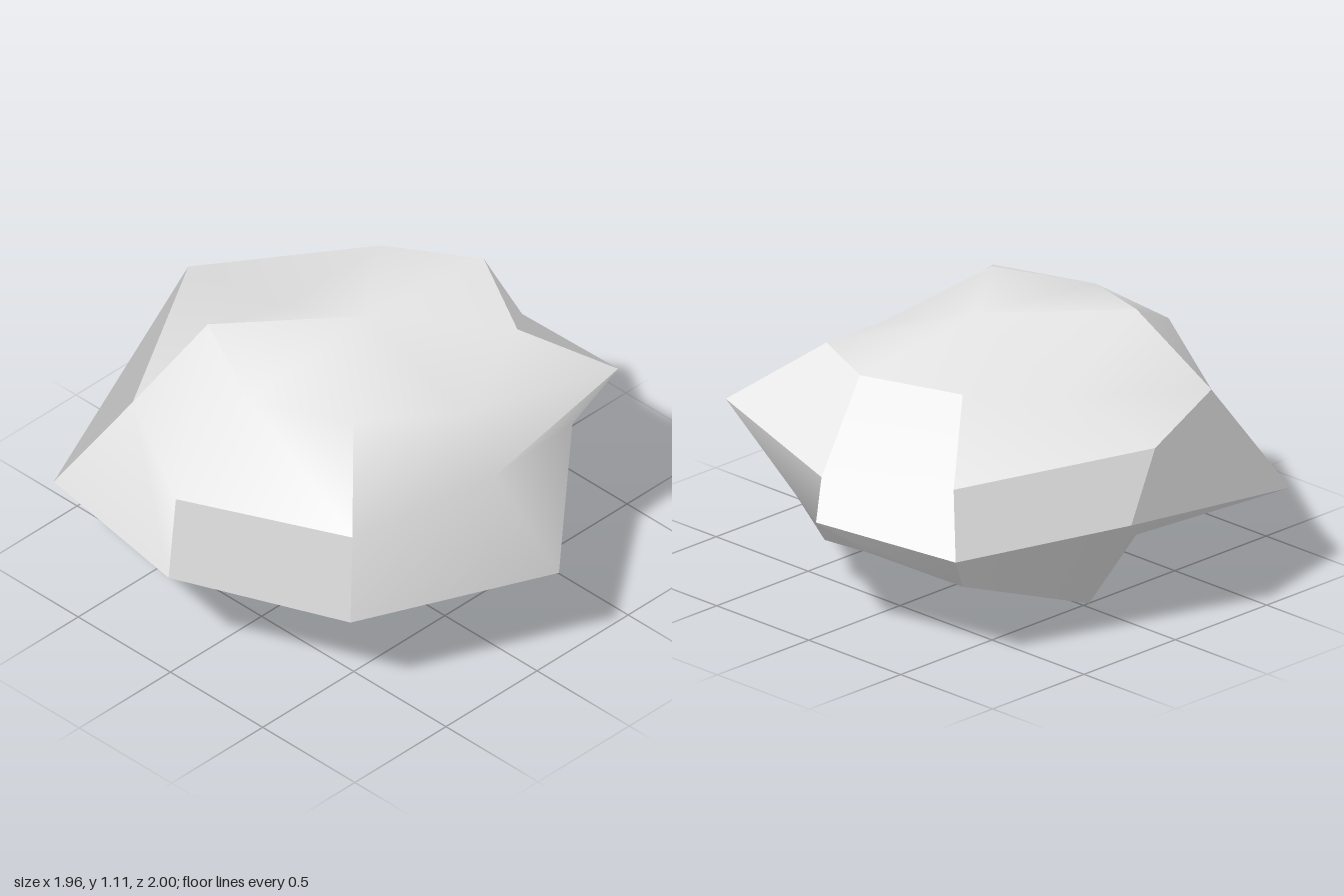
import * as THREE from 'three';

// Rings of the boulder from top to bottom, eight points each:
// front, front left, left, back left, back, back right, right, front right
const RINGS = [
  [[0.11, 0.92, 0.5], [0.55, 1.01, 0.35], [0.75, 1.04, -0.03], [0.56, 1.01, -0.4],
    [0.11, 0.9, -0.5], [-0.36, 1.11, -0.43], [-0.54, 1.05, -0.03], [-0.36, 1.06, 0.36]],
  [[0.11, 0.7, 0.66], [0.85, 0.79, 0.6], [0.95, 0.67, -0.02], [0.7, 0.68, -0.49],
    [0.11, 0.83, -1], [-0.59, 0.76, -0.61], [-0.94, 0.79, -0.03], [-0.71, 0.87, 0.7]],
  [[0.12, 0.41, 1], [0.71, 0.54, 0.49], [0.98, 0.49, -0.02], [0.84, 0.46, -0.64],
    [0.11, 0.47, -0.87], [-0.79, 0.36, -0.84], [-0.98, 0.43, -0.03], [-0.68, 0.42, 0.66]],
  [[0.11, 0.21, 0.51], [0.56, 0.19, 0.35], [0.69, 0.28, -0.02], [0.56, 0.21, -0.4],
    [0.11, 0.08, -0.64], [-0.36, 0.17, -0.43], [-0.54, 0.18, -0.03], [-0.36, 0.25, 0.36]],
];
const TOP = [0.11, 1.11, -0.03];
const BOTTOM = [0.11, 0, -0.02];
const CREASE = Math.cos(THREE.MathUtils.degToRad(30));

// Facets as corner lists: triangles at the poles, four-sided between the rings
function boulderFacets() {
  const sides = RINGS[0].length;
  const last = (RINGS.length - 1) * sides;
  const top = last + sides, bottom = top + 1;
  const facets = [];
  for (let i = 0; i < sides; i++) {
    const j = (i + 1) % sides;
    facets.push([top, i, j], [bottom, last + j, last + i]);
    for (let r = 0; r < last; r += sides) {
      facets.push([r + i, r + sides + i, r + sides + j, r + j]);
    }
  }
  return facets;
}

// One normal per whole facet, so a bent four-sided facet still shades as one
function facetNormal(facet, points) {
  const normal = new THREE.Vector3();
  facet.forEach((p, k) => {
    const next = points[facet[(k + 1) % facet.length]];
    normal.add(new THREE.Vector3().crossVectors(points[p], next));
  });
  return normal.normalize();
}

function boulderGeometry() {
  const points = [...RINGS.flat(), TOP, BOTTOM].map((p) => new THREE.Vector3(...p));
  const facets = boulderFacets();
  const normals = facets.map((f) => facetNormal(f, points));

  // Blend the facets around a corner that meet along soft edges
  const cornerNormal = (start, corner) => {
    const fan = [start];
    for (const f of fan) {
      facets.forEach((other, g) => {
        const shared = other.filter((p) => facets[f].includes(p)).length;
        const soft = normals[f].dot(normals[g]) > CREASE;
        if (other.includes(corner) && shared === 2 && soft && !fan.includes(g)) fan.push(g);
      });
    }
    const sum = new THREE.Vector3();
    fan.forEach((f) => sum.add(normals[f]));
    return sum.normalize();
  };

  const position = [], normal = [], index = [];
  facets.forEach((facet, f) => {
    const base = position.length / 3;
    facet.forEach((p) => {
      position.push(...points[p].toArray());
      normal.push(...cornerNormal(f, p).toArray());
    });
    for (let k = 2; k < facet.length; k++) index.push(base, base + k - 1, base + k);
  });
  const geometry = new THREE.BufferGeometry();
  geometry.setAttribute('position', new THREE.Float32BufferAttribute(position, 3));
  geometry.setAttribute('normal', new THREE.Float32BufferAttribute(normal, 3));
  geometry.setIndex(index);
  return geometry;
}

export function createModel() {
  const stone = new THREE.MeshStandardMaterial({ color: 0xe7e7e7 });
  stone.name = 'pale grey stone';

  const boulder = new THREE.Mesh(boulderGeometry(), stone);
  boulder.name = 'boulder';

  const group = new THREE.Group();
  group.name = 'rock';
  group.add(boulder);
  return group;
}
